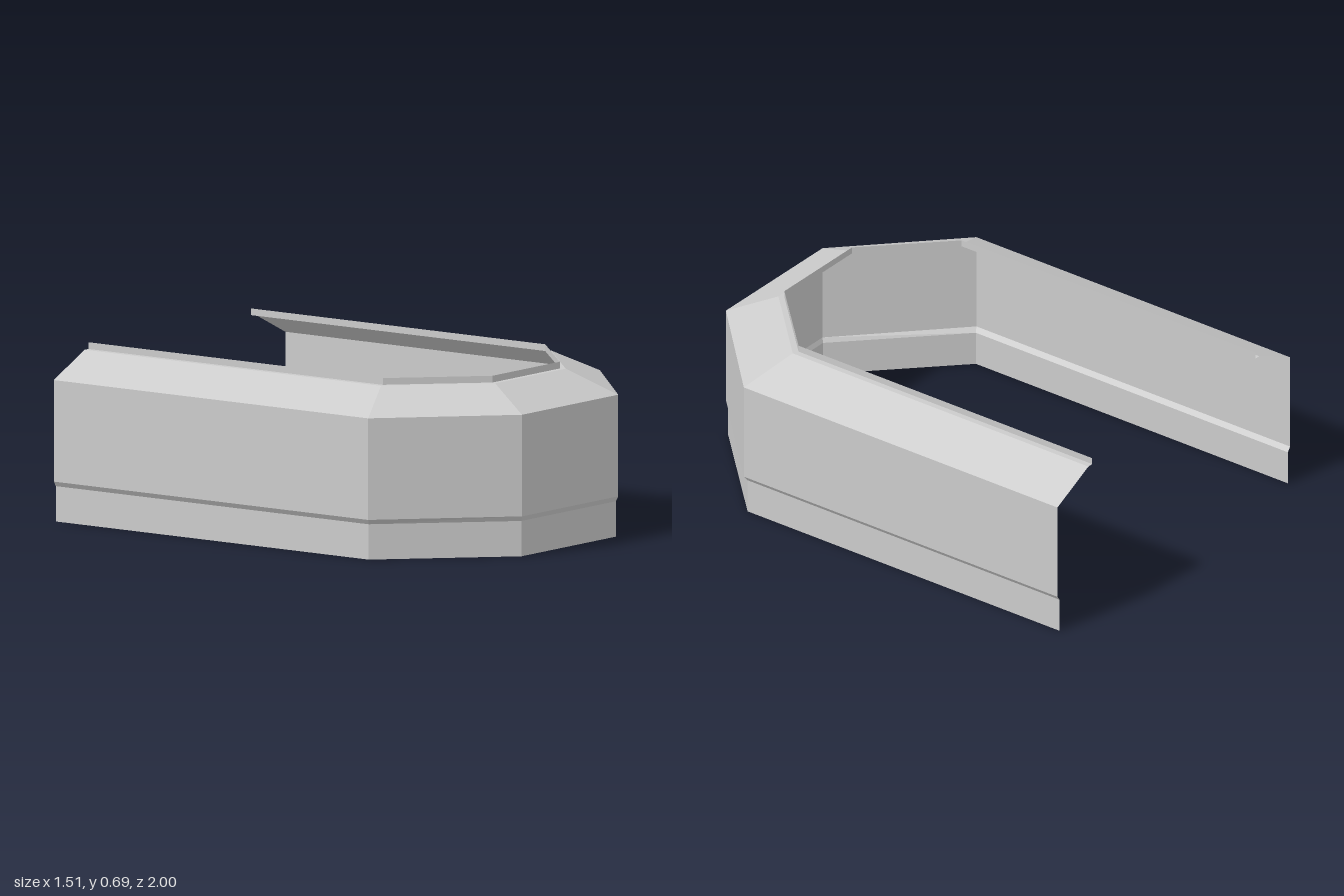
import * as THREE from 'three';

const material = new THREE.MeshStandardMaterial({
  color: 0xcccccc, flatShading: true, side: THREE.DoubleSide,
});

// Cross-section rings, bottom to top: height, half width, half width of the
// front panel, z of the front panel, z where the straight sides begin
const rings = [
  { y: 0, w: 0.742, f: 0.308, front: 0.993, side: 0.562 },
  { y: 0.142, w: 0.742, f: 0.308, front: 0.993, side: 0.562 },
  { y: 0.162, w: 0.756, f: 0.314, front: 1, side: 0.57 },
  { y: 0.57, w: 0.756, f: 0.314, front: 1, side: 0.57 },
  { y: 0.666, w: 0.555, f: 0.23, front: 0.802, side: 0.48 },
  { y: 0.666, w: 0.53, f: 0.22, front: 0.78, side: 0.47 },
  { y: 0.693, w: 0.53, f: 0.22, front: 0.78, side: 0.47 },
];
const bandNames = ['baseSkirt', 'baseMoulding', 'wall', 'slopedRoof', 'roofLedge', 'roofLip'];

// Open U-shaped outline of one ring, from the left back end round to the right
function outline({ y, w, f, front, side }) {
  return [[w, -1], [w, side], [f, front], [-f, front], [-w, side], [-w, -1]]
    .map(([x, z]) => [x, y, z]);
}

// One band of flat panels between two neighbouring rings
function band(lower, upper) {
  const lo = outline(lower), up = outline(upper), positions = [];
  for (let i = 0; i < lo.length - 1; i++) {
    const a = lo[i], b = lo[i + 1], c = up[i + 1], d = up[i];
    positions.push(...b, ...a, ...d, ...b, ...d, ...c);
  }
  const geometry = new THREE.BufferGeometry();
  geometry.setAttribute('position', new THREE.Float32BufferAttribute(positions, 3));
  geometry.computeVertexNormals();
  return geometry;
}

export function createModel() {
  const model = new THREE.Group();
  model.name = 'openBackedEnclosure';
  bandNames.forEach((name, i) => {
    const mesh = new THREE.Mesh(band(rings[i], rings[i + 1]), material);
    mesh.name = name;
    model.add(mesh);
  });
  return model;
}
